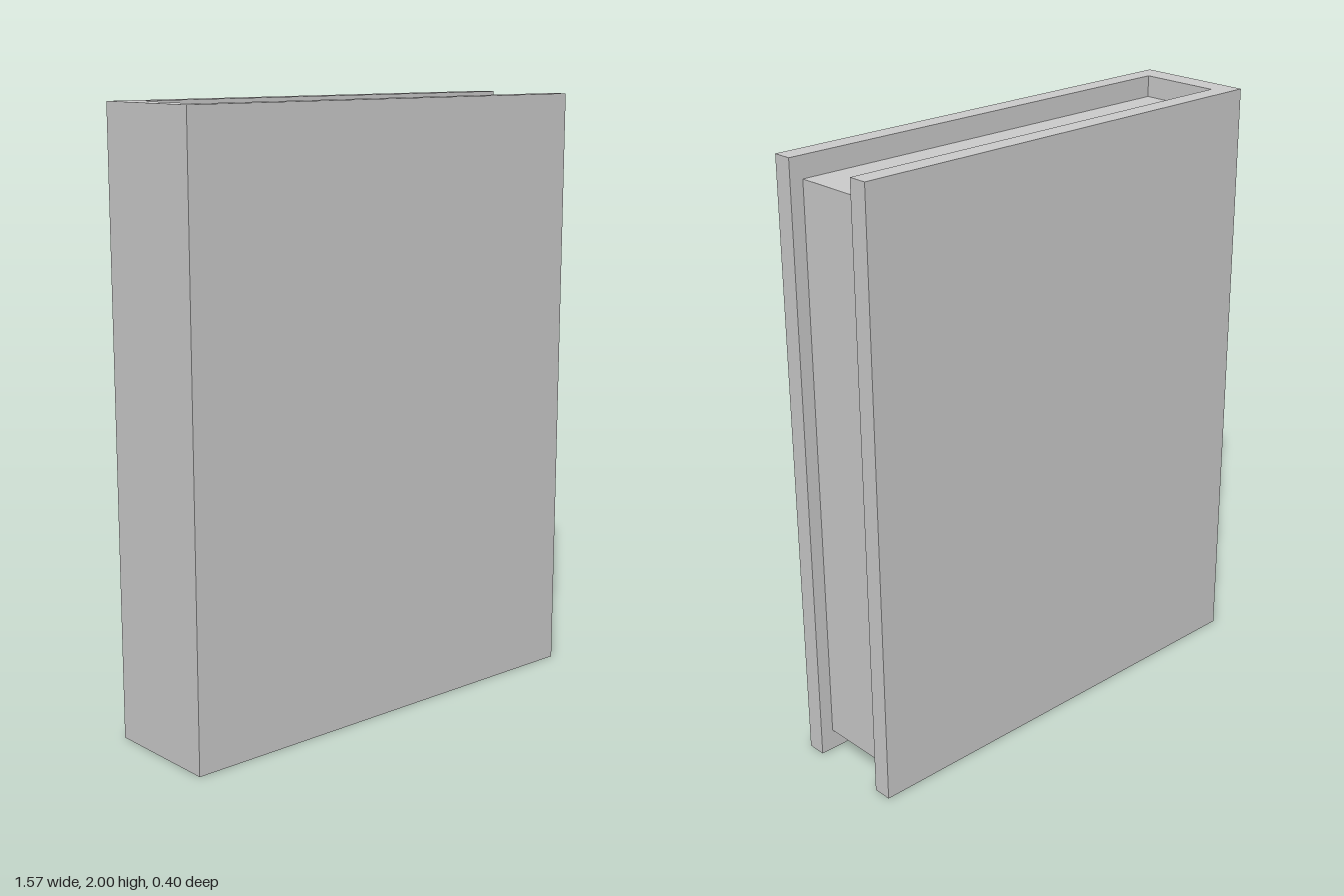
import * as THREE from 'three';

const HEIGHT = 2, HALF_W = 0.785, HALF_D = 0.2; // outer size
const INNER_X = -0.71, INNER_Z = 0.137; // inside of spine and boards
const PAGE_EDGE = 0.74, PAGE_INSET = 0.07;

export function createModel() {
  const book = new THREE.Group();
  book.name = 'book';
  const material = new THREE.MeshStandardMaterial({ color: 0xcccccc });

  // Cover: one U-shaped section (two boards and a spine), extruded upwards
  const section = new THREE.Shape([
    [-HALF_W, -HALF_D], [HALF_W, -HALF_D], [HALF_W, -INNER_Z], [INNER_X, -INNER_Z],
    [INNER_X, INNER_Z], [HALF_W, INNER_Z], [HALF_W, HALF_D], [-HALF_W, HALF_D],
  ].map(([x, z]) => new THREE.Vector2(x, z)));
  const coverGeometry = new THREE.ExtrudeGeometry(section, { depth: HEIGHT, bevelEnabled: false });
  coverGeometry.rotateX(-Math.PI / 2);
  const cover = new THREE.Mesh(coverGeometry, material);
  cover.name = 'cover';
  book.add(cover);

  // Page block: set in from the cover at top, bottom and fore edge
  const pages = new THREE.Mesh(
    new THREE.BoxGeometry(PAGE_EDGE - INNER_X, HEIGHT - 2 * PAGE_INSET, 2 * INNER_Z),
    material,
  );
  pages.name = 'pages';
  pages.position.set((PAGE_EDGE + INNER_X) / 2, HEIGHT / 2, 0);
  book.add(pages);

  return book;
}
